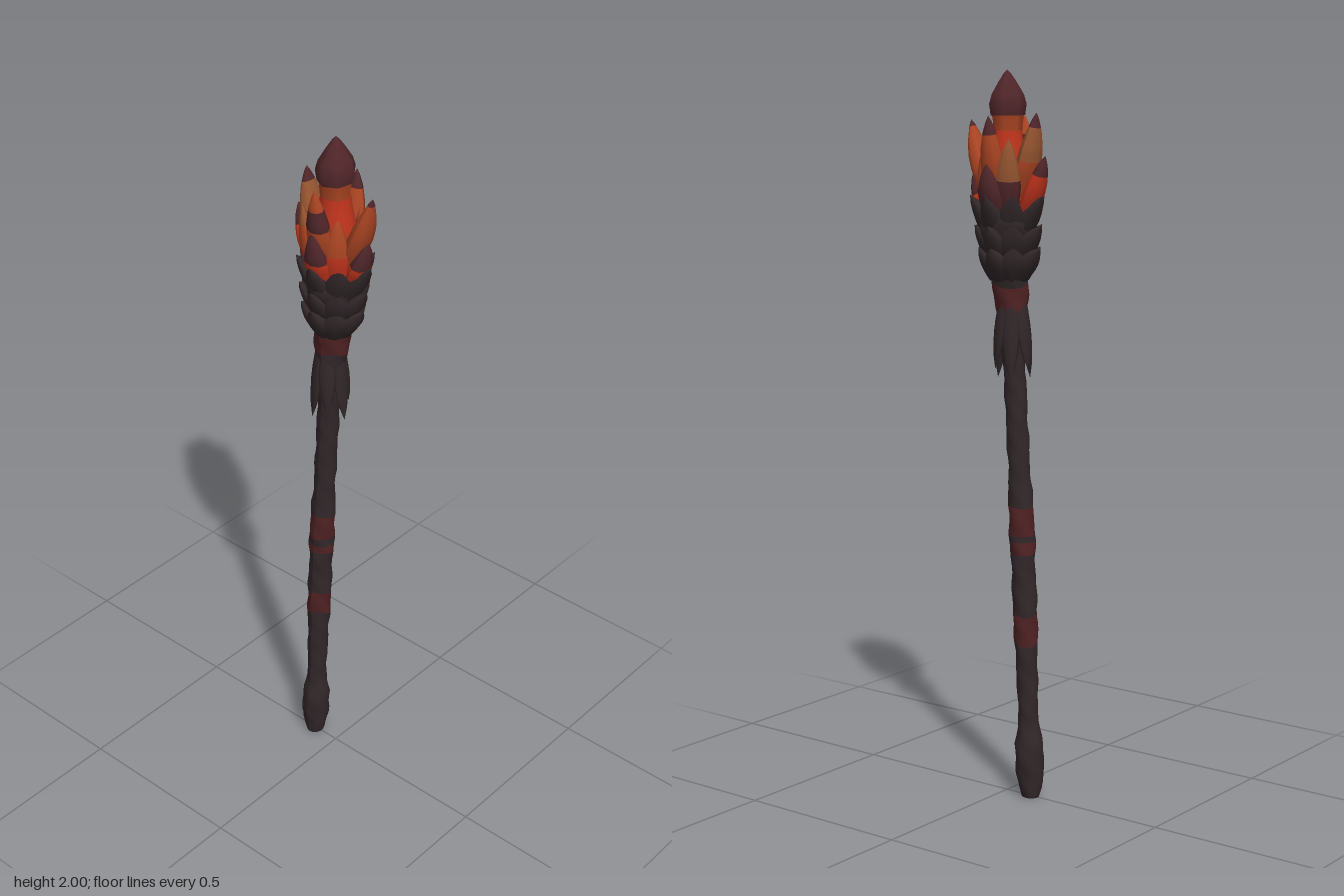
import * as THREE from 'three';

const mat = (name, color) => new THREE.MeshStandardMaterial({ name, color });

// linear lookup in a list of [key, value]
function lookup(list, k) {
  for (let i = 1; i < list.length; i++) {
    const [a, va] = list[i - 1], [b, vb] = list[i];
    if (k <= b) return va + (vb - va) * Math.max(0, (k - a) / (b - a));
  }
  return list[list.length - 1][1];
}

const AXIS = [[0, -0.083], [0.5, -0.064], [0.8, -0.049], [1.2, -0.025], [1.45, -0.01], [1.62, 0], [2, 0]];
const RADIUS = [[0, 0.026], [0.02, 0.031], [0.09, 0.04], [0.15, 0.041], [0.2, 0.028], [0.35, 0.029],
  [0.55, 0.035], [0.62, 0.032], [0.7, 0.035], [0.82, 0.035], [0.9, 0.03], [1.2, 0.03], [1.28, 0.036],
  [1.36, 0.042], [1.45, 0.051], [1.5, 0.062], [1.6, 0.083], [1.66, 0.06]];
const LEAF = [[0, 0.6], [0.2, 0.85], [0.42, 1], [0.62, 0.88], [0.82, 0.56], [0.94, 0.24], [1, 0]];

export function createModel() {
  const root = new THREE.Group();
  root.name = 'emberStaff';
  const bark = mat('darkBark', 0x312729);
  const band = mat('redBand', 0x502224);
  const maroon = mat('maroonCrystal', 0x50262a);
  const red = mat('glowingRed', 0xc0341d);
  const orange = mat('emberOrange', 0xac4523);
  const ochre = mat('ochre', 0x965530);

  const add = (parent, name, geometry, material) => {
    const mesh = new THREE.Mesh(geometry, material);
    mesh.name = name;
    parent.add(mesh);
    return mesh;
  };

  // knotted, leaning length of the shaft, its end edges slanted by tilt0 and tilt1
  function shaftPart(name, material, y0, y1, tilt0, tilt1) {
    const n = Math.max(3, Math.ceil((y1 - y0) / 0.022));
    const points = [];
    for (let i = 0; i <= n; i++) points.push(new THREE.Vector2(1, i / n));
    const g = new THREE.LatheGeometry(points, 14);
    const p = g.attributes.position;
    for (let i = 0; i < p.count; i++) {
      const t = p.getY(i), a = Math.atan2(p.getZ(i), p.getX(i));
      const y = y0 + (y1 - y0) * t + Math.cos(a - 0.9) * (tilt0 * (1 - t) + tilt1 * t);
      const knots = 1 + 0.05 * Math.sin(y * 47 + 2 * a) + 0.035 * Math.sin(y * 83 - 3 * a);
      const r = lookup(RADIUS, y) * knots;
      p.setXYZ(i, lookup(AXIS, y) + r * Math.cos(a), y, r * Math.sin(a));
    }
    g.computeVertexNormals();
    add(root, name, g, material);
  }
  const cuts = [
    ['pommelAndGrip', bark, 0, 0.455, 0], ['lowerBand', band, 0.455, 0.535, 0.025],
    ['midShaft', bark, 0.535, 0.695, 0.02], ['middleBandLow', band, 0.695, 0.725, 0.006],
    ['bandGap', bark, 0.725, 0.745, 0], ['middleBandHigh', band, 0.745, 0.825, 0.004],
    ['upperShaft', bark, 0.825, 1.365, 0.005], ['neckBand', band, 1.365, 1.435, 0.018],
    ['budBase', bark, 1.435, 1.66, 0.015], ['end', bark, 1.66, 1.66, 0]];
  cuts.slice(0, -1).forEach(([name, m, y0, y1, tilt], i) => shaftPart(name, m, y0, y1, tilt, cuts[i + 1][4]));
  const foot = add(root, 'pommelBase', new THREE.CircleGeometry(0.027, 14), bark);
  foot.rotation.x = Math.PI / 2;
  foot.position.set(AXIS[0][1], 0.001, 0);

  // leaf-shaped spike from [r, y] to [r, y]; zones list [end fraction, material] from the root up
  function spike(name, degrees, from, to, width, thick, zones, bulge = 0) {
    const pivot = new THREE.Group();
    pivot.name = name;
    pivot.position.x = lookup(AXIS, (from[1] + to[1]) / 2);
    pivot.rotation.y = -degrees * Math.PI / 180;
    const dr = to[0] - from[0], dy = to[1] - from[1], length = Math.hypot(dr, dy);
    zones.forEach(([b, material], k) => {
      const a = k ? zones[k - 1][0] : 0;
      const points = [];
      for (let i = 0; i <= 6; i++) {
        const t = a + (b - a) * i / 6;
        points.push(new THREE.Vector2(lookup(LEAF, t), t * length));
      }
      const g = new THREE.LatheGeometry(points, 8);
      const p = g.attributes.position;
      for (let i = 0; i < p.count; i++) {
        const t = p.getY(i) / length;
        p.setX(i, p.getX(i) * thick + bulge * 4 * t * (1 - t));
        p.setZ(i, p.getZ(i) * width);
      }
      g.computeVertexNormals();
      const mesh = add(pivot, name + 'Zone' + (k + 1), g, material);
      mesh.position.set(from[0], from[1], 0);
      mesh.rotation.z = -Math.atan2(dr, dy);
    });
    root.add(pivot);
  }

  // ragged claws hanging down around the neck
  for (let i = 0; i < 6; i++) {
    const low = 1.172 + 0.03 * (i % 2);
    spike('neckClaw', i * 60, [0.026, 1.4], [0.051, low], 0.025, 0.014, [[1, bark]]);
  }

  // tiers of dark scales round the bud
  const tiers = [[1.445, 1.53, 0.099], [1.49, 1.59, 0.108], [1.54, 1.67, 0.119]];
  for (const [y0, y1, reach] of tiers) {
    for (let i = 0; i < 8; i++) {
      const side = i % 4 === 0 ? 1 : i % 2 === 0 ? 0.87 : 0.85;
      spike('budScale', i * 45, [0.04, y0], [reach * side, y1], 0.038, 0.023, [[1, bark]], -0.006);
    }
  }

  // glowing core, the neck of the crown and the pointed crown crystal
  const lathe = (pts, sides) => new THREE.LatheGeometry(pts.map(([r, y]) => new THREE.Vector2(r, y)), sides);
  add(root, 'emberCore', lathe([[0.06, 1.6], [0.066, 1.68], [0.055, 1.75], [0.044, 1.8], [0.04, 1.84]], 12), red);
  add(root, 'crownNeck', lathe([[0.04, 1.835], [0.042, 1.865], [0.046, 1.885]], 7), orange);
  const crown = add(root, 'crownCrystal',
    lathe([[0.046, 1.88], [0.05, 1.91], [0.043, 1.935], [0.024, 1.968], [0.009, 1.991], [0, 2]], 7), maroon);
  crown.scale.z = 1.12;

  // tall crystals: angle, reach, top, half width, zones
  const tall = [
    [0, 0.122, 1.868, 0.042, [[0.92, orange], [1, maroon]]],
    [90, 0.08, 1.88, 0.036, [[0.55, orange], [0.78, maroon], [1, orange]]],
    [180, 0.098, 1.888, 0.045, [[0.5, orange], [0.85, ochre], [1, maroon]]],
    [270, 0.082, 1.88, 0.036, [[0.8, orange], [1, maroon]]]];
  for (const [a, r, top, width, zones] of tall)
    spike('tallCrystal', a, [0.034, 1.64], [r, top], width, 0.028, zones, 0.008);

  // short crystals below them
  const short = [
    [0, 0.108, 1.74, [[0.5, red], [1, maroon]]],
    [90, 0.09, 1.765, [[0.5, red], [1, maroon]]],
    [180, 0.127, 1.775, [[0.72, red], [1, maroon]]],
    [270, 0.092, 1.755, [[1, maroon]]]];
  for (const [a, r, top, zones] of short)
    spike('shortCrystal', a, [0.05, 1.6], [r, top], 0.037, 0.025, zones, 0.006);

  // diagonal crystals filling the gaps
  const diagonal = [
    [45, 0.062, 1.8, [[0.5, red], [1, orange]]],
    [130, 0.085, 1.82, [[0.45, red], [0.75, orange], [1, ochre]]],
    [230, 0.085, 1.82, [[0.5, maroon], [1, ochre]]],
    [315, 0.062, 1.8, [[0.45, maroon], [1, orange]]]];
  for (const [a, r, top, zones] of diagonal)
    spike('diagonalCrystal', a, [0.048, 1.6], [r, top], 0.034, 0.022, zones, 0.005);

  return root;
}
